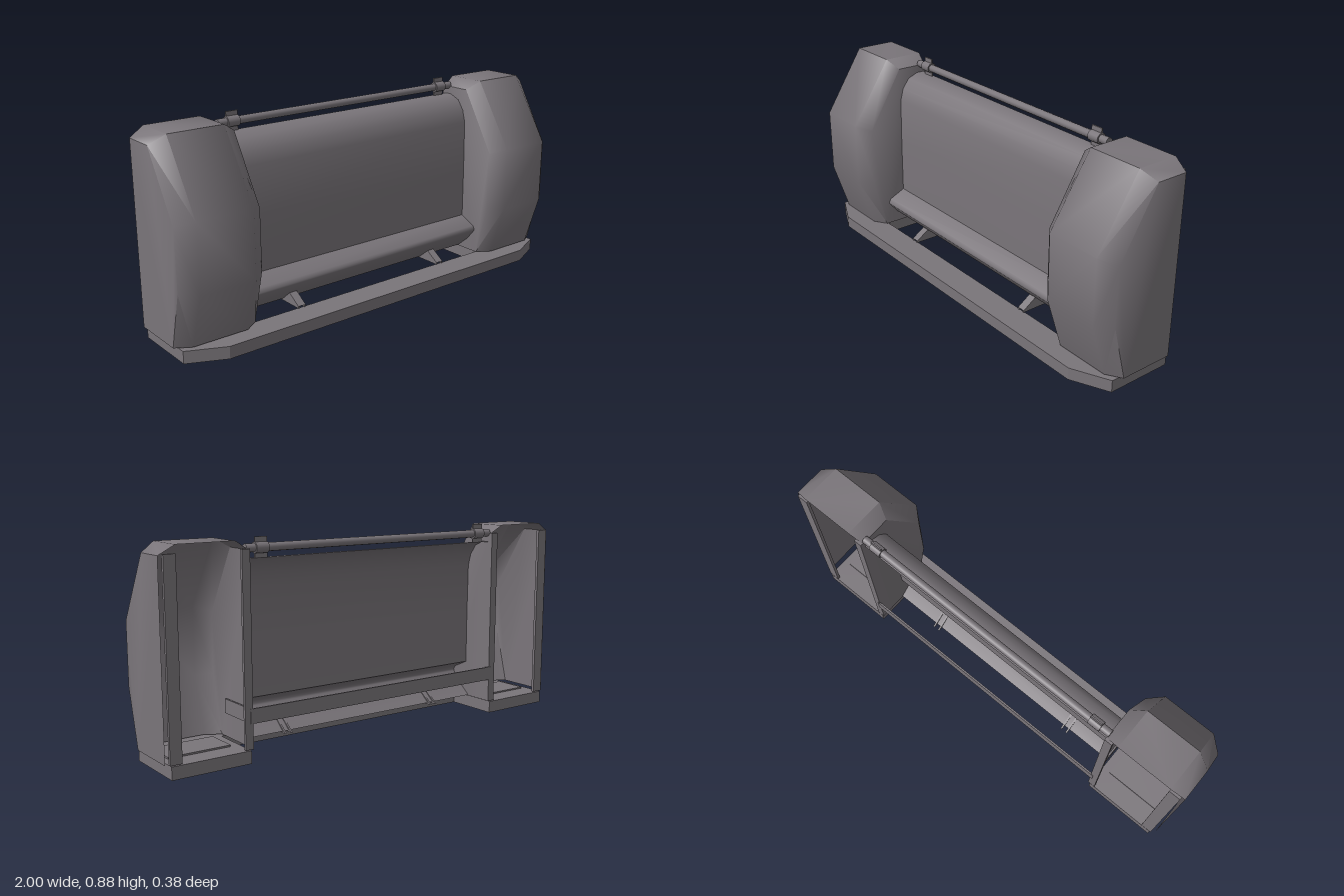
import * as THREE from 'three';
import { toCreasedNormals } from 'three/addons/utils/BufferGeometryUtils.js';

// Skin through stations {x, p}, where p lists [z, y] from the bottom front up and back.
function loft(stations, capped, crease) {
  const out = [];
  const put = (s, k) => out.push(s.x, s.p[k][1], s.p[k][0]);
  const n = stations[0].p.length;
  for (let i = 0; i < stations.length - 1; i++) {
    const a = stations[i], b = stations[i + 1];
    for (let k = 0; k < n - 1; k++) {
      put(a, k); put(b, k); put(b, k + 1);
      put(a, k); put(b, k + 1); put(a, k + 1);
    }
  }
  if (capped) {
    const a = stations[0], b = stations[stations.length - 1];
    for (const [s, flip] of [[a, false], [b, true]]) {
      const ring = { x: s.x, p: [...s.p, [s.p[n - 1][0], s.p[0][1]]] };
      for (let k = 1; k < n; k++) {
        put(ring, 0); put(ring, flip ? k + 1 : k); put(ring, flip ? k : k + 1);
      }
    }
  }
  const g = new THREE.BufferGeometry();
  g.setAttribute('position', new THREE.Float32BufferAttribute(out, 3));
  return toCreasedNormals(g, crease);
}

export function createModel() {
  const model = new THREE.Group();
  model.name = 'bumperModule';
  const grey = new THREE.MeshStandardMaterial({ color: 0x7a757a, side: THREE.DoubleSide });
  grey.name = 'warmGrey';

  const add = (parent, name, geometry, x = 0, y = 0, z = 0) => {
    const m = new THREE.Mesh(geometry, grey);
    m.name = name;
    m.position.set(x, y, z);
    parent.add(m);
    return m;
  };
  // Box given by its limits
  const box = (parent, name, x0, x1, y0, y1, z0, z1) =>
    add(parent, name, new THREE.BoxGeometry(x1 - x0, y1 - y0, z1 - z0),
      (x0 + x1) / 2, (y0 + y1) / 2, (z0 + z1) / 2);

  // Base: U-shaped plate with clipped front corners, open at the back
  const outline = [[-0.98, 0.185], [-0.64, 0.185], [-0.64, -0.06], [0.64, -0.06], [0.64, 0.185],
    [0.98, 0.185], [0.98, -0.11], [0.82, -0.185], [-0.82, -0.185], [-0.98, -0.11]];
  const base = new THREE.ExtrudeGeometry(
    new THREE.Shape(outline.map(([x, y]) => new THREE.Vector2(x, y))),
    { depth: 0.053, bevelEnabled: false });
  base.rotateX(-Math.PI / 2);
  add(model, 'base', base);

  // Curved middle panel with a sloped ledge and a tucked-under skirt
  const span = p => [{ x: -0.63, p }, { x: 0.63, p }];
  add(model, 'panel', loft(span([[-0.03, 0.22], [-0.03, 0.45], [-0.033, 0.68], [-0.048, 0.735],
    [-0.08, 0.78], [-0.13, 0.8], [-0.165, 0.8]]), false, 1));
  add(model, 'ledge', loft(span([[-0.05, 0.06], [0.01, 0.11], [0.052, 0.16], [0.055, 0.168],
    [0.045, 0.185], [-0.03, 0.22]]), false, 1.3));

  // Rear rail and the rod above the panel
  box(model, 'rearRail', -0.64, 0.64, 0.16, 0.22, -0.187, -0.179);
  const rod = new THREE.CylinderGeometry(0.017, 0.017, 1.27, 12);
  rod.rotateZ(Math.PI / 2);
  add(model, 'topRod', rod, 0, 0.84, -0.152);

  // End pods: rounded shells, open at the back
  const full = [[0.11, 0.057], [0.186, 0.29], [0.188, 0.58], [0, 0.873], [-0.185, 0.873]];
  const inset = [[0.07, 0.057], [0.135, 0.3], [0.135, 0.56], [-0.03, 0.835], [-0.172, 0.835]];
  const podShell = loft([{ x: 0.63, p: inset }, { x: 0.69, p: full },
    { x: 0.935, p: full }, { x: 1, p: inset }], true, 0.95);

  for (const [side, label] of [[1, 'left'], [-1, 'right']]) {
    const half = new THREE.Group();
    half.name = label + 'End';
    half.scale.x = side;
    model.add(half);
    add(half, 'pod', podShell);
    box(half, 'podFoot', 0.68, 0.95, 0.052, 0.06, -0.09, 0.06);

    // Strips framing the open back of the pod
    box(half, 'outerBackStrip', 0.935, 0.985, 0.057, 0.84, -0.185, -0.172);
    box(half, 'innerBackStrip', 0.63, 0.665, 0.057, 0.84, -0.185, -0.172);
    box(half, 'railEnd', 0.634, 0.642, 0.16, 0.22, -0.187, 0.02);

    // Rod clip: sleeve and thin tab
    const sleeve = new THREE.CylinderGeometry(0.023, 0.023, 0.055, 12);
    sleeve.rotateZ(Math.PI / 2);
    add(half, 'clipSleeve', sleeve, 0.565, 0.84, -0.152);
    box(half, 'clipTab', 0.5375, 0.5925, 0.8, 0.882, -0.157, -0.151);

    // Strut under the ledge: two triangular fins joined by a sloped face
    const fin = new THREE.Shape([[-0.07, 0.053], [0.065, 0.053], [0.065, 0.062], [0.0, 0.105]]
      .map(([z, y]) => new THREE.Vector2(-z, y)));
    for (const x of [0.376, 0.405]) {
      const g = new THREE.ExtrudeGeometry(fin, { depth: 0.008, bevelEnabled: false });
      g.rotateY(Math.PI / 2);
      add(half, 'strutFin', g, x);
    }
    const face = [[0.065, 0.062], [0, 0.105]];
    add(half, 'strutFace', loft([{ x: 0.376, p: face }, { x: 0.413, p: face }], false, 0.5));
  }
  return model;
}
